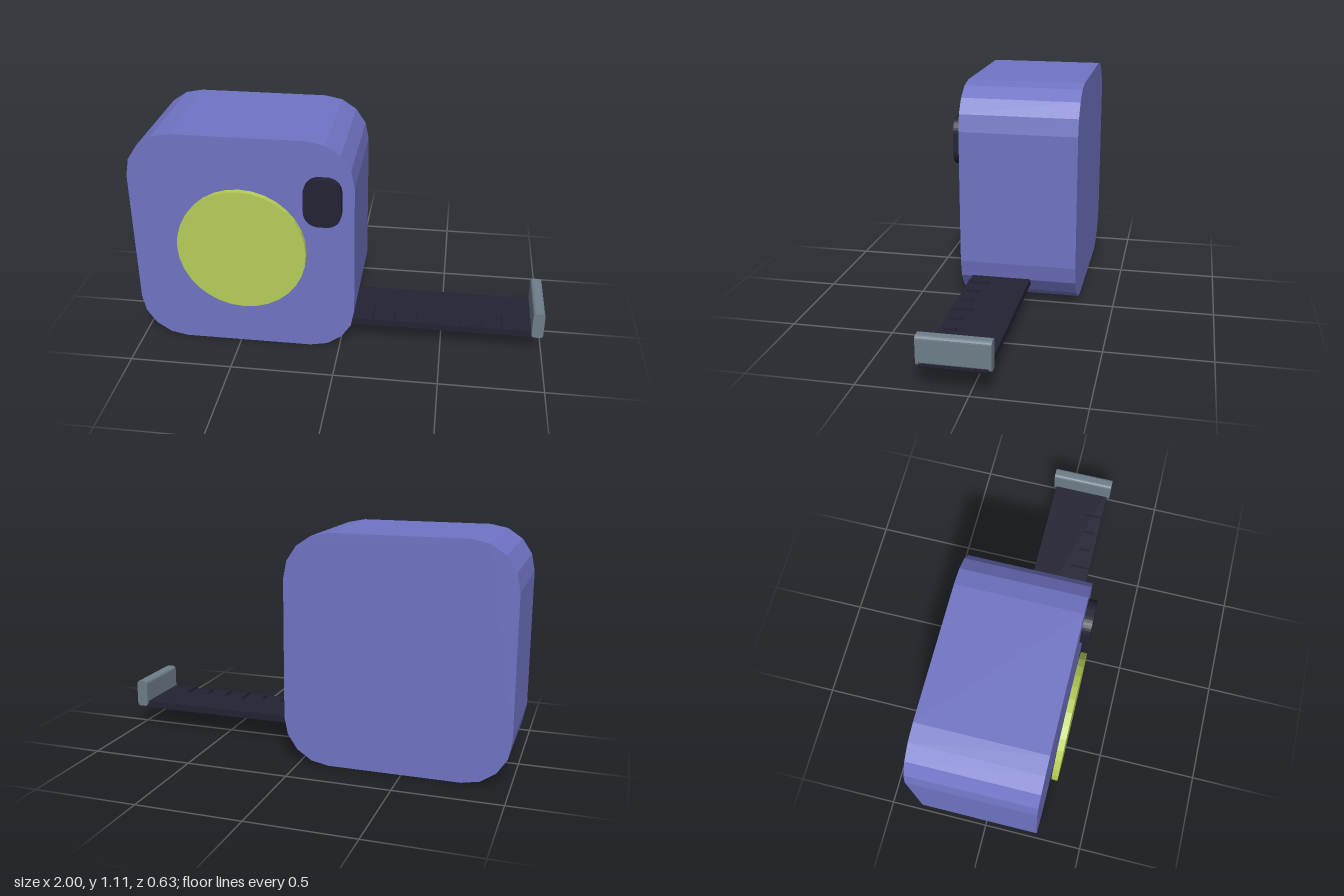
import * as THREE from 'three';

const mat = (name, color) => {
  const m = new THREE.MeshStandardMaterial({ color, flatShading: true });
  m.name = name;
  return m;
};

// Rounded rectangle extruded along z, centred on the origin
function roundedSlab(w, h, d, r, curveSegments) {
  const x = w / 2, y = h / 2, s = new THREE.Shape();
  s.absarc(x - r, y - r, r, 0, Math.PI / 2);
  s.absarc(r - x, y - r, r, Math.PI / 2, Math.PI);
  s.absarc(r - x, r - y, r, Math.PI, Math.PI * 1.5);
  s.absarc(x - r, r - y, r, Math.PI * 1.5, Math.PI * 2);
  s.closePath();
  return new THREE.ExtrudeGeometry(s, { depth: d, bevelEnabled: false, curveSegments }).translate(0, 0, -d / 2);
}

export function createModel() {
  const group = new THREE.Group();
  group.name = 'tapeMeasure';
  const purple = mat('casePurple', 0x7074c4);
  const lime = mat('discLime', 0xb6ce58);
  const dark = mat('bladeDark', 0x222234);
  const grey = mat('hookGrey', 0x6e7e8a);

  const add = (name, geometry, material, x, y, z) => {
    const mesh = new THREE.Mesh(geometry, material);
    mesh.name = name;
    mesh.position.set(x, y, z);
    group.add(mesh);
    return mesh;
  };

  // Case with faceted round corners
  add('case', roundedSlab(1.075, 1.11, 0.585, 0.22, 2), purple, -0.4625, 0.555, -0.0225);

  // Round plate standing just clear of the front
  add('frontDisc', new THREE.CylinderGeometry(0.312, 0.312, 0.029, 32).rotateX(Math.PI / 2), lime, -0.462, 0.546, 0.3);

  // Lock button
  add('lockButton', roundedSlab(0.178, 0.238, 0.046, 0.07, 4), dark, -0.071, 0.819, 0.289);

  // Blade running out of the case
  add('blade', roundedSlab(1.098, 0.034, 0.297, 0.01, 1), dark, 0.449, 0.123, 0.0645);

  // Raised scale marks, every third one long
  for (let i = 0; i < 7; i++) {
    const length = i % 3 === 0 ? 0.1 : 0.06;
    add('scaleMark', new THREE.BoxGeometry(0.011, 0.016, length), dark, 0.158 + i * 0.1075, 0.146, 0.16);
  }

  // End hook
  add('endHook', roundedSlab(0.057, 0.137, 0.325, 0.016, 2), grey, 0.9685, 0.1835, 0.0655);

  return group;
}
